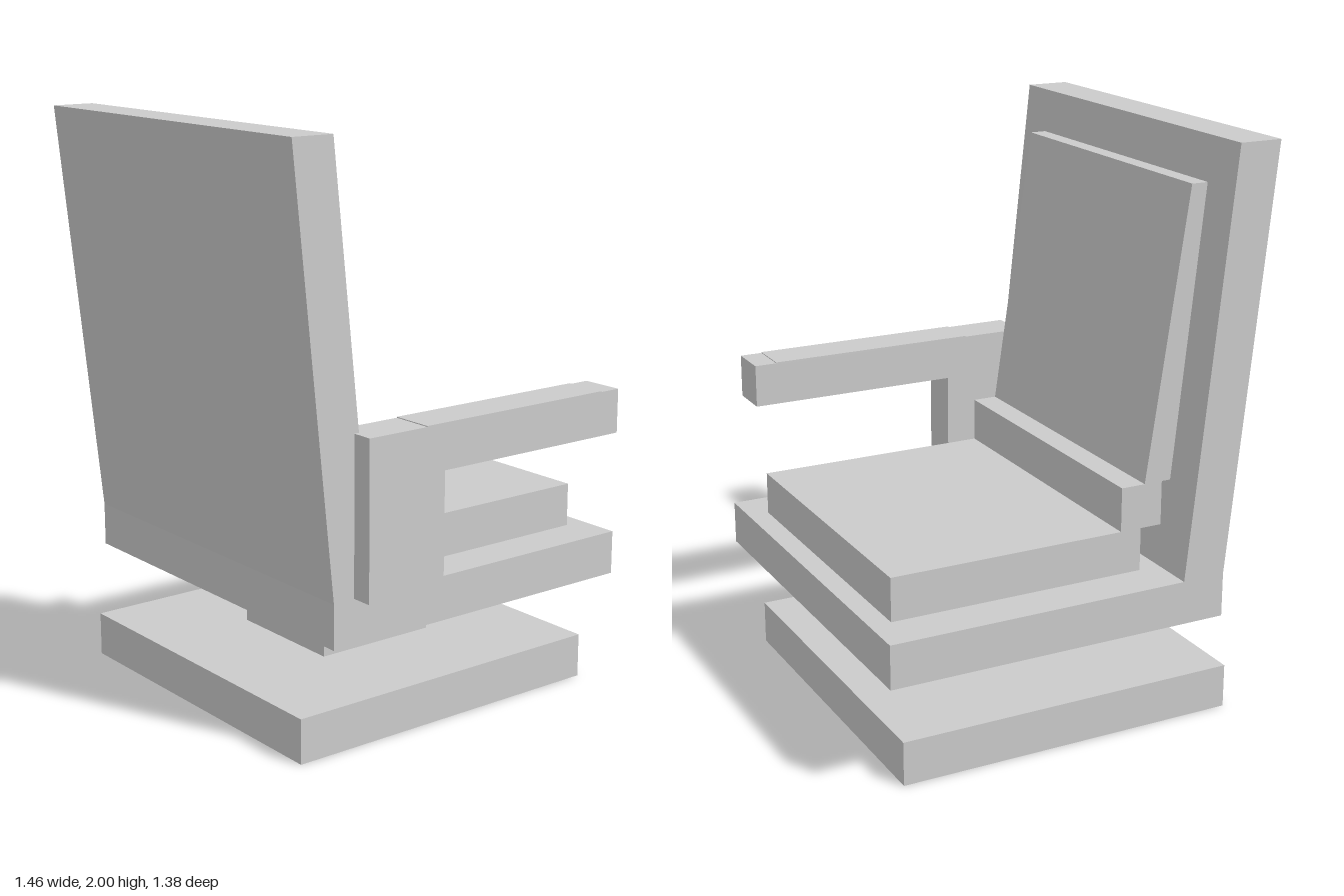
import * as THREE from 'three';

const material = new THREE.MeshStandardMaterial({ color: 0xcccccc, flatShading: true });

// Box given by its extents on each axis
function box(name, [x0, x1], [y0, y1], [z0, z1]) {
  const mesh = new THREE.Mesh(new THREE.BoxGeometry(x1 - x0, y1 - y0, z1 - z0), material);
  mesh.position.set((x0 + x1) / 2, (y0 + y1) / 2, (z0 + z1) / 2);
  mesh.name = name;
  return mesh;
}

// Side profile of [z, y] points, extruded across x
function sideProfile(name, points, [x0, x1]) {
  const shape = new THREE.Shape(points.map(([z, y]) => new THREE.Vector2(-z, y)));
  const geometry = new THREE.ExtrudeGeometry(shape, { depth: x1 - x0, bevelEnabled: false });
  geometry.rotateY(Math.PI / 2);
  geometry.translate(x0, 0, 0);
  const mesh = new THREE.Mesh(geometry, material);
  mesh.name = name;
  return mesh;
}

export function createModel() {
  const chair = new THREE.Group();
  chair.name = 'chair';
  const seatX = [-0.73, 0.65];
  const cushionX = [-0.575, 0.5];
  const armX = [0.575, 0.725];

  // Foot, post and seat
  chair.add(
    box('base', [-0.655, 0.575], [0, 0.155], [-0.615, 0.615]),
    box('pedestal', [-0.27, 0.19], [0.155, 0.39], [-0.23, 0.23]),
    box('seat', seatX, [0.39, 0.543], [-0.69, 0.54]),
    box('seatCushion', cushionX, [0.543, 0.695], [-0.615, 0.307]),
    box('lumbarCushion', cushionX, [0.695, 0.85], [0.23, 0.385])
  );

  // Leaning back and its pad
  chair.add(
    sideProfile('backrest', [[0.54, 0.543], [0.385, 0.543], [0.54, 2], [0.692, 2]], seatX),
    sideProfile('backCushion', [[0.418, 0.85], [0.318, 0.85], [0.465, 1.85], [0.524, 1.85]], cushionX)
  );

  // Single arm on the +x side: upright panel and rest in one L-shaped piece
  chair.add(
    sideProfile('arm', [
      [0.46, 0.545], [0.155, 0.545], [0.155, 0.927],
      [-0.615, 0.927], [-0.615, 1.08], [0.46, 1.08],
    ], armX),
    box('armPad', armX, [1.07, 1.083], [-0.535, 0.23])
  );

  return chair;
}
